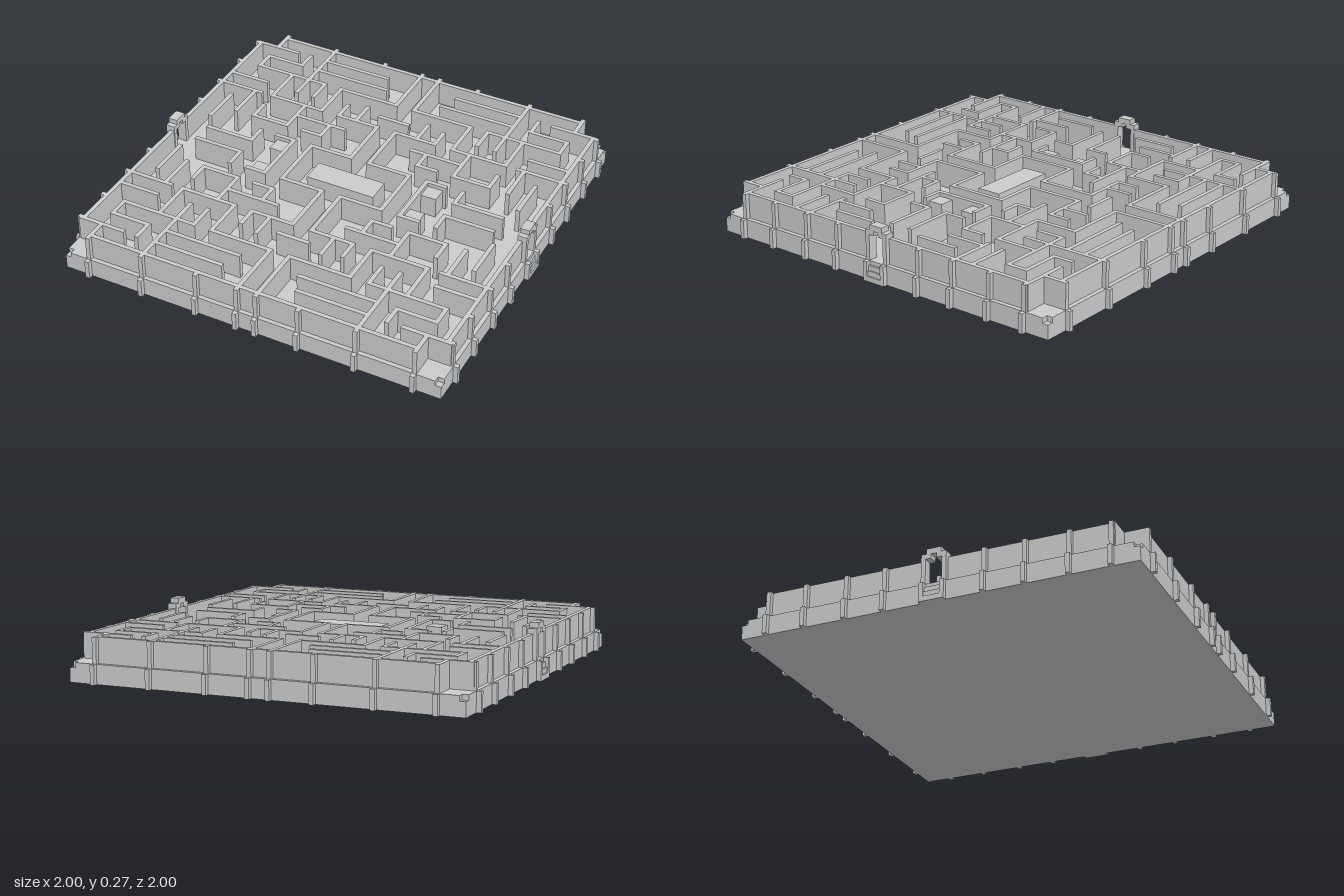
import * as THREE from 'three';

const FLOOR = 0.095, TOP = 0.22, T = 0.022;

export function createModel() {
  const model = new THREE.Group();
  model.name = 'maze';
  const mat = new THREE.MeshStandardMaterial({ color: 0xcccccc, flatShading: true });

  // Box given by its minimum and maximum corners
  function box(name, parent, x0, x1, y0, y1, z0, z1) {
    const m = new THREE.Mesh(new THREE.BoxGeometry(x1 - x0, y1 - y0, z1 - z0), mat);
    m.position.set((x0 + x1) / 2, (y0 + y1) / 2, (z0 + z1) / 2);
    m.name = name;
    parent.add(m);
    return m;
  }
  function group(name) {
    const g = new THREE.Group();
    g.name = name;
    model.add(g);
    return g;
  }

  // Slab, with a small notch at each upper corner
  const E = 0.977, N = 0.947;
  box('baseSlab', model, -E, E, 0, 0.07, -E, E);
  const outline = new THREE.Shape([
    [N, E], [-N, E], [-N, N], [-E, N], [-E, -N], [-N, -N],
    [-N, -E], [N, -E], [N, -N], [E, -N], [E, N], [N, N],
  ].map(([x, y]) => new THREE.Vector2(x, y)));
  const floorGeo = new THREE.ExtrudeGeometry(outline, { depth: FLOOR - 0.07, bevelEnabled: false });
  floorGeo.rotateX(-Math.PI / 2).translate(0, 0.07, 0);
  const floor = new THREE.Mesh(floorGeo, mat);
  floor.name = 'floor';
  model.add(floor);

  // Outer walls, left open at the four corners and at the two gates
  const outer = group('outerWalls');
  for (const s of [-1, 1]) {
    const a = s * 0.945 - T / 2, b = s * 0.945 + T / 2;
    box('longWall', outer, -0.845, 0.845, FLOOR, TOP, a, b);
    for (const k of [-1, 1]) {
      box('sideWall', outer, a, b, FLOOR, TOP, Math.min(k * 0.05, k * 0.85), Math.max(k * 0.05, k * 0.85));
    }
  }

  // Stepped pilasters around the rim
  const pilasters = group('pilasters');
  const p = T / 2;
  for (const s of [-1, 1]) {
    const up = [s * 0.956, s * E].sort((a, b) => a - b);
    const low = [s * E, s].sort((a, b) => a - b);
    for (const k of [-1, 1]) {
      for (const c of [0.845, 0.555, 0.265, 0.05]) {
        const x = c * k;
        box('upperPilaster', pilasters, x - p, x + p, FLOOR, TOP, ...up);
        box('lowerPilaster', pilasters, x - p, x + p, 0, FLOOR, ...low);
      }
      for (const c of [0.845, 0.65, 0.44, 0.245]) {
        const z = c * k;
        box('upperPilaster', pilasters, ...up, FLOOR, TOP, z - p, z + p);
        box('lowerPilaster', pilasters, ...low, 0, FLOOR, z - p, z + p);
      }
    }
  }

  // Inner walls of one quarter, mirrored into the other three
  const alongX = [ // z, x start, x end
    [0.85, 0.73, 0.956], [0.85, 0.2, 0.555], [0.85, 0.05, 0.05],
    [0.755, 0.65, 0.845], [0.755, 0.16, 0.555],
    [0.655, 0.46, 0.845], [0.655, 0.05, 0.365],
    [0.535, 0.74, 0.945], [0.527, 0, 0.075],
    [0.44, 0.72, 0.945], [0.44, 0.365, 0.65], [0.44, 0.05, 0.268],
    [0.345, 0.19, 0.46], [0.245, 0.46, 0.65], [0.245, 0.268, 0.365],
    [0.15, 0.05, 0.268], [0.15, 0.365, 0.46], [0.055, 0.555, 0.8],
  ];
  const alongZ = [ // x, z start, z end
    [0.845, 0.85, 0.956], [0.845, 0.655, 0.755], [0.845, 0.15, 0.35],
    [0.75, 0.245, 0.44], [0.65, 0.755, 0.85], [0.65, 0.44, 0.655],
    [0.65, 0.245, 0.345], [0.555, 0.655, 0.945], [0.555, 0.53, 0.655],
    [0.555, 0.055, 0.15], [0.46, 0.53, 0.655], [0.46, 0.245, 0.44],
    [0.365, 0.44, 0.655], [0.365, 0, 0.15], [0.268, 0.44, 0.54],
    [0.268, 0, 0.15], [0.268, 0.245, 0.345], [0.17, 0.44, 0.57],
    [0.05, 0.655, 0.945], [0.05, 0.15, 0.44],
  ];
  const maze = group('mazeWalls');
  for (const sx of [-1, 1]) for (const sz of [-1, 1]) {
    const wall = (name, x0, x1, z0, z1, top = TOP) => box(name, maze,
      Math.min(sx * x0, sx * x1), Math.max(sx * x0, sx * x1), FLOOR, top,
      Math.min(sz * z0, sz * z1), Math.max(sz * z0, sz * z1));
    for (const [z, a, b] of alongX) wall('mazeWall', a - (a ? p : 0), b + p, z - p, z + p);
    for (const [x, a, b] of alongZ) wall('mazeWall', x - p, x + p, a - (a ? p : 0), b + p);
    wall('sideBlock', 0.365, 0.455, 0.06, 0.15, 0.2);
  }
  box('centreBlock', model, -0.18, 0.18, FLOOR, 0.2, -0.063, 0.063);

  // Gate with a stepped arch and a short stair, one on each side
  for (const s of [-1, 1]) {
    const gate = group(s > 0 ? 'leftGate' : 'rightGate');
    for (const k of [-1, 1]) {
      const z = [k * 0.04, k * 0.062].sort((a, b) => a - b);
      box('gatePost', gate, 0.93, E, FLOOR, 0.245, ...z);
      box('stairCheek', gate, E, 1, 0, FLOOR, ...z);
      const h = [k * 0.013, k * 0.04].sort((a, b) => a - b);
      box('archShoulder', gate, 0.93, E, 0.22, 0.245, ...h);
    }
    box('archTop', gate, 0.93, E, 0.242, 0.27, -0.036, 0.036);
    [0.025, 0.05, 0.075].forEach((y, i) => {
      box('step', gate, E, 1 - i * 0.007, i * 0.025, y, -0.04, 0.04);
    });
    if (s < 0) gate.rotation.y = Math.PI;
  }
  return model;
}
